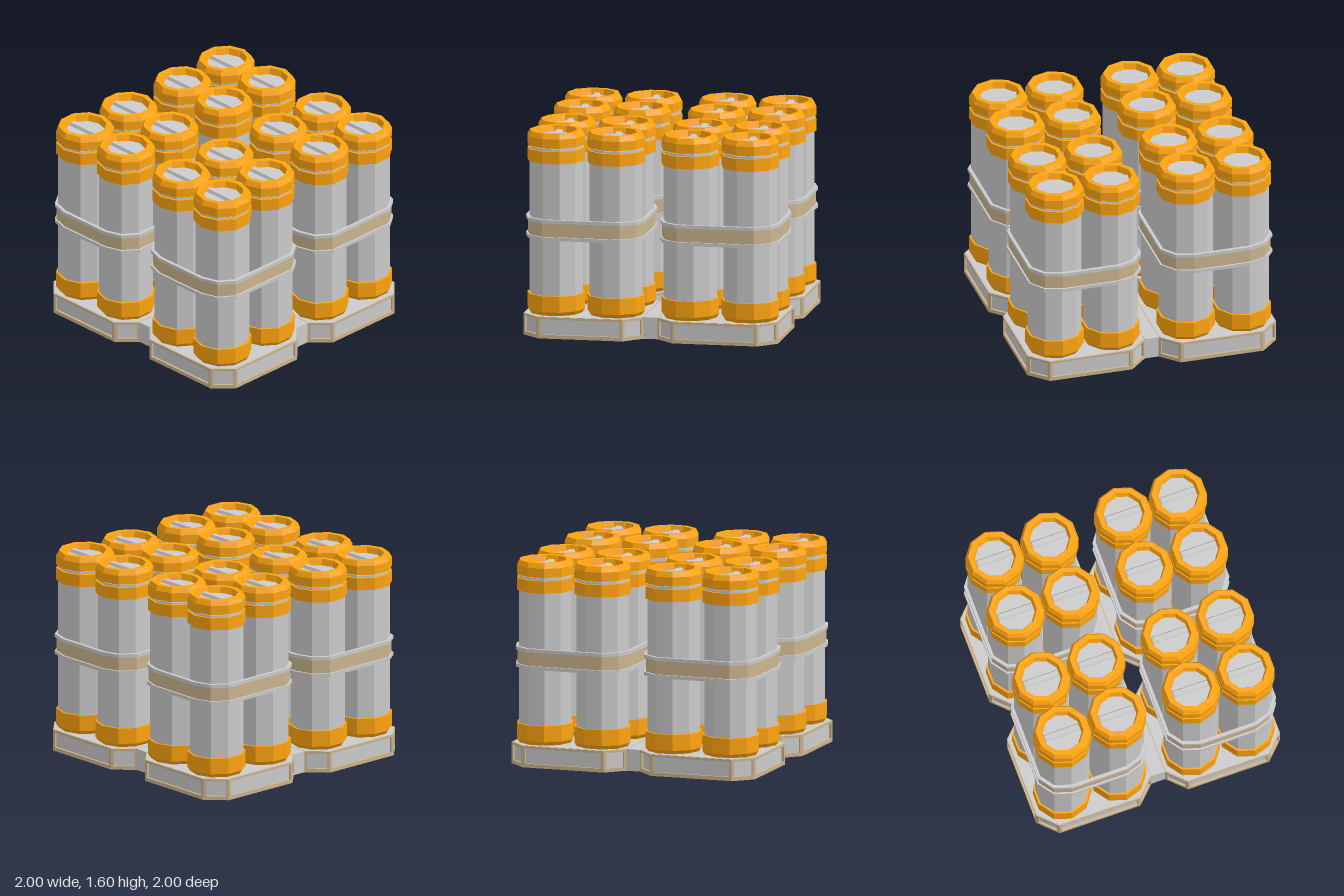
import * as THREE from 'three';

const material = (color, extra = {}) =>
  new THREE.MeshStandardMaterial({ color, flatShading: true, ...extra });
const grey = material(0xcccccc);
const greyOpen = material(0xcccccc, { side: THREE.DoubleSide });
const tan = material(0xccb58f);
const orange = material(0xffa510);

const CENTRE = 0.5275, HALF = 0.4725, CHAMFER = 0.14; // tray placement and outline
const TRAY_H = 0.17, RECESS = 0.018;
const DX = 0.225, DZ = 0.235;                         // canister offsets in a tray

function add(parent, name, geometry, mat, x = 0, y = 0, z = 0) {
  const mesh = new THREE.Mesh(geometry, mat);
  mesh.name = name;
  mesh.position.set(x, y, z);
  parent.add(mesh);
  return mesh;
}

// Upright prism from a flat outline, standing on its own y = 0
function prism(outline, height, hole) {
  const shape = new THREE.Shape(outline);
  if (hole) shape.holes.push(new THREE.Path(hole));
  return new THREE.ExtrudeGeometry(shape, { depth: height, bevelEnabled: false }).rotateX(-Math.PI / 2);
}

// Mirror one quadrant of points (from the y axis to the x axis) into a closed outline
function mirrorQuadrant(q) {
  const r = [...q].reverse();
  const flip = (pts, sx, sy) => pts.map(([x, y]) => new THREE.Vector2(x * sx, y * sy));
  return [...flip(q, 1, 1), ...flip(r, 1, -1), ...flip(q, -1, -1), ...flip(r, -1, 1)];
}

function octagon(inset) {
  const h = HALF - inset, c = CHAMFER - 0.586 * inset;
  return mirrorQuadrant([[h - c, h], [h, h - c]]);
}

// Outline wrapped tightly around four ten-sided canisters of radius r
function wrap(r) {
  return mirrorQuadrant([0, 0.2, 0.4].map(t =>
    [DX + r * Math.sin(t * Math.PI), DZ + r * Math.cos(t * Math.PI)]));
}

const lathe = points =>
  new THREE.LatheGeometry(points.map(([r, y]) => new THREE.Vector2(r, y)), 10);

const canisterParts = [
  ['bottomCap', orange, lathe([[0.205, 0.17], [0.226, 0.2], [0.226, 0.325], [0.2, 0.325]])],
  ['body', grey, lathe([[0.21, 0.3], [0.21, 1.37]])],
  ['upperCollar', orange, lathe([[0.2, 1.365], [0.226, 1.365], [0.226, 1.462], [0.2, 1.462]])],
  ['neck', grey, lathe([[0.206, 1.46], [0.206, 1.47], [0.218, 1.47], [0.218, 1.482], [0.206, 1.482], [0.206, 1.49]])],
  ['topCap', orange, lathe([[0.2, 1.488], [0.226, 1.488], [0.226, 1.56], [0.205, 1.6], [0.166, 1.6], [0.15, 1.55]])],
  ['lid', grey, lathe([[0.155, 1.552], [0, 1.552]])],
];

// Raised bar with sloping sides across the lid
const barGeometry = new THREE.ExtrudeGeometry(
  new THREE.Shape([[-0.03, 0], [0.03, 0], [0.018, 0.022], [-0.018, 0.022]].map(p => new THREE.Vector2(...p))),
  { depth: 0.28, bevelEnabled: false }).translate(0, 0, -0.14).rotateY(Math.PI / 2);

function makeCanister() {
  const g = new THREE.Group();
  g.name = 'canister';
  for (const [name, mat, geometry] of canisterParts) add(g, name, geometry, mat);
  add(g, 'lidBar', barGeometry, grey, 0, 1.552, 0);
  return g;
}

function makeTray(sx, sz) {
  const g = new THREE.Group();
  g.name = 'tray';
  const low = 0.03, high = 0.15, rim = 0.022;
  add(g, 'trayCore', prism(octagon(RECESS), high - low), grey, 0, low);
  add(g, 'trayBase', prism(octagon(0), low), tan);
  add(g, 'trayRim', prism(octagon(0), TRAY_H - high - 0.002), tan, 0, high);
  add(g, 'trayTop', prism(octagon(0.008), 0.004), grey, 0, TRAY_H - 0.004);
  // Corner posts frame a recessed panel on each side; joined sides are plain
  for (let i = 0; i < 8; i++) {
    const a = i * Math.PI / 4, flat = i % 2 === 0;
    const dist = flat ? HALF : (2 * HALF - CHAMFER) / Math.SQRT2;
    const length = flat ? 2 * (HALF - CHAMFER) : CHAMFER * Math.SQRT2;
    const side = new THREE.Group();
    side.name = 'traySide';
    side.rotation.y = a;
    g.add(side);
    const y = (low + high) / 2, z = dist - RECESS / 2;
    const inner = flat && Math.sin(a) * sx + Math.cos(a) * sz < -0.5;
    if (inner) {
      add(side, 'innerWall', new THREE.BoxGeometry(length, high - low, RECESS), tan, 0, y, z);
    } else {
      for (const s of [-1, 1])
        add(side, 'cornerPost', new THREE.BoxGeometry(rim, high - low, RECESS), tan,
          s * (length - rim) / 2, y, z);
    }
  }
  return g;
}

function makeBand() {
  const g = new THREE.Group();
  g.name = 'band';
  add(g, 'bandStrap', prism(wrap(0.222), 0.115, wrap(0.21)), tan, 0, 0.79);
  for (const y of [0.765, 0.9])
    add(g, 'bandLip', prism(wrap(0.2365), 0.027, wrap(0.21)), grey, 0, y);
  return g;
}

// Bridge between two trays: a top and two end walls, open below
function makeBridge() {
  const g = new THREE.Group();
  g.name = 'bridge';
  const gap = 2 * (CENTRE - HALF), length = 2 * (HALF - CHAMFER);
  add(g, 'bridgeTop', new THREE.PlaneGeometry(gap, length).rotateX(-Math.PI / 2), greyOpen, 0, TRAY_H - 0.001);
  for (const s of [-1, 1])
    add(g, 'bridgeEnd', new THREE.PlaneGeometry(gap, TRAY_H).rotateY(s > 0 ? 0 : Math.PI), greyOpen,
      0, TRAY_H / 2, s * length / 2);
  return g;
}

export function createModel() {
  const model = new THREE.Group();
  model.name = 'canisterRack';
  for (const sx of [-1, 1]) for (const sz of [-1, 1]) {
    const cluster = new THREE.Group();
    cluster.name = 'canisterCluster';
    cluster.position.set(sx * CENTRE, 0, sz * CENTRE);
    cluster.add(makeTray(sx, sz), makeBand());
    for (const cx of [-1, 1]) for (const cz of [-1, 1]) {
      const canister = makeCanister();
      canister.position.set(cx * DX, 0, cz * DZ);
      cluster.add(canister);
    }
    model.add(cluster);
  }
  // Four bridges joining neighbouring trays
  for (const s of [-1, 1]) {
    const across = makeBridge();
    across.position.z = s * CENTRE;
    const along = makeBridge();
    along.rotation.y = Math.PI / 2;
    along.position.x = s * CENTRE;
    model.add(across, along);
  }
  return model;
}
